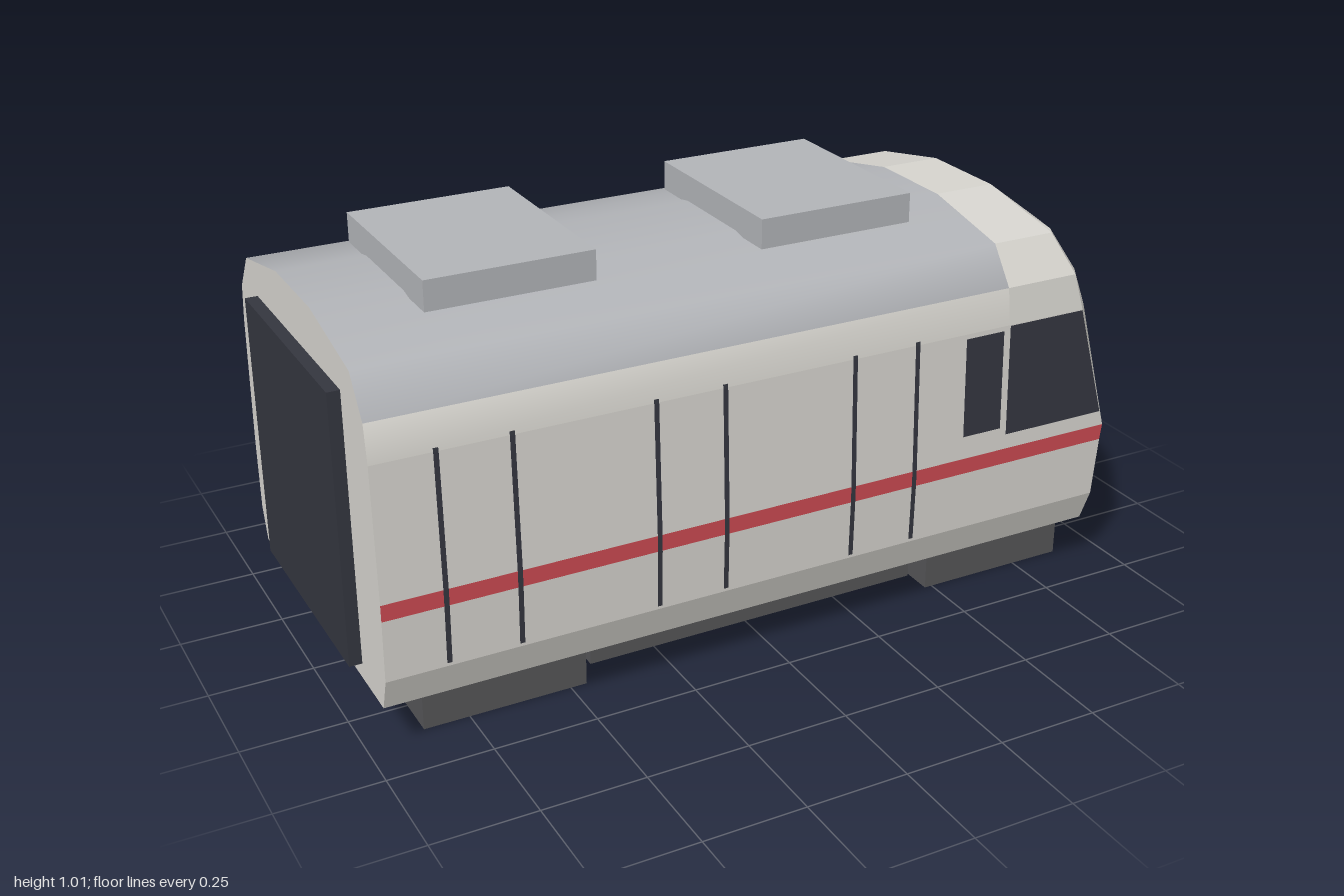
import * as THREE from 'three';

const mat = (name, color) => Object.assign(new THREE.MeshStandardMaterial({ color }), { name });

export function createModel() {
  const model = new THREE.Group();
  model.name = 'railCar';
  const cream = mat('cream body', 0xd6d4ce);
  const roofGrey = mat('roof grey', 0xb2b4b8);
  const red = mat('red trim', 0xcc4a52);
  const glass = mat('dark glass', 0x34363f);
  const skirtGrey = mat('skirt grey', 0x4a4a4f);
  const underGrey = mat('underframe grey', 0x555557);
  const lampGrey = mat('lamp white', 0xd0d0cc);

  const add = (name, geometry, material) => {
    const mesh = new THREE.Mesh(geometry, material);
    mesh.name = name;
    model.add(mesh);
    return mesh;
  };

  // Surface through rows of [x, y, z] points; cells can be filtered, normals smooth or flat
  const surface = (rows, { smooth = false, keep = () => true } = {}) => {
    const n = rows[0].length;
    const index = [];
    for (let i = 0; i < rows.length - 1; i++) {
      for (let j = 0; j < n - 1; j++) {
        if (!keep(i, j)) continue;
        const a = i * n + j, b = a + 1, c = b + n, d = a + n;
        index.push(a, b, c, a, c, d);
      }
    }
    let g = new THREE.BufferGeometry();
    g.setAttribute('position', new THREE.Float32BufferAttribute(rows.flat(2), 3));
    g.setIndex(index);
    if (!smooth) g = g.toNonIndexed();
    g.computeVertexNormals();
    return g;
  };

  // Half cross-section: half width, height, and x where the side meets the nose
  const half = [
    [0.425, 0.13, 0.90], [0.452, 0.21, 0.905], [0.455, 0.36, 0.915], [0.455, 0.40, 0.92],
    [0.443, 0.72, 0.835], [0.43, 0.81, 0.815], [0.365, 0.90, 0.785], [0.12, 0.95, 0.78],
  ];
  const section = [...half, ...half.map(([z, y, x]) => [-z, y, x]).reverse()];
  const last = section.length - 1;
  const REAR = -0.97, CAB = 0.62;

  // Side walls, one band at a time on both sides
  [['lowerSkirt', cream], ['lowerSide', cream], ['sideStripe', red], ['upperSide', cream]].forEach(([name, m], k) => {
    for (const i of [k, last - 1 - k]) {
      add(name, surface([i, i + 1].map((p) => {
        const [z, y, x] = section[p];
        return [[REAR, y, z], [x, y, z]];
      })), m);
    }
  });

  // Smooth roof shell, cream at the eaves and grey above
  const shell = section.slice(4, last - 3);
  const roof = surface(shell.map(([z, y]) => [[REAR, y, z], [CAB, y, z]]), { smooth: true });
  const eave = 6, total = roof.index.count;
  roof.addGroup(0, eave, 0);
  roof.addGroup(eave, total - 2 * eave, 1);
  roof.addGroup(total - eave, eave, 0);
  add('roof', roof, [cream, roofGrey]);

  // Faceted cab roof
  add('cabRoof', surface(shell.map(([z, y, x]) => [[CAB, y, z], [x, y, z]])), cream);

  // Nose rows: height, then [x, z] from the middle column to the outer edge
  const nose = [
    [0.13, [0.98, 0.18], [0.945, 0.345], [0.92, 0.40], [0.90, 0.425]],
    [0.21, [0.985, 0.19], [0.95, 0.365], [0.925, 0.425], [0.905, 0.452]],
    [0.36, [0.997, 0.19], [0.96, 0.365], [0.936, 0.425], [0.915, 0.455]],
    [0.40, [1.0, 0.19], [0.963, 0.365], [0.94, 0.425], [0.92, 0.455]],
    [0.72, [0.917, 0.17], [0.885, 0.345], [0.86, 0.415], [0.835, 0.443]],
    [0.81, [0.89, 0.16], [0.86, 0.33], [0.835, 0.40], [0.815, 0.43]],
    [0.90, [0.84, 0.12], [0.82, 0.25], [0.80, 0.34], [0.785, 0.365]],
  ];
  const noseRows = nose.map(([y, ...p]) => [
    ...p.map(([x, z]) => [x, y, z]).reverse(),
    ...p.map(([x, z]) => [x, y, -z]),
  ]);
  // Brow row lies on the front edge of the cab roof
  noseRows.push(noseRows[6].map(([, , z]) =>
    [Math.abs(z) > 0.36 ? 0.785 : 0.78, 0.95 - 0.05 * Math.max(0, Math.abs(z) - 0.12) / 0.245, z]));
  const noseMaterial = (i, j) => {
    const outer = j === 0 || j === 6;
    if (i === 0) return skirtGrey;
    if (i === 1 && (j === 2 || j === 4)) return lampGrey;
    if (i === 1 && (j === 1 || j === 5)) return lampGrey;
    if (i < 3) return red;
    return i === 6 || outer ? cream : glass;
  };
  // Headlights fill only the column next to the middle panel
  const cellMaterial = (i, j) => (i === 1 && (j === 1 || j === 5) ? red : noseMaterial(i, j));
  [['noseSkirt', skirtGrey], ['noseBand', red], ['headlights', lampGrey], ['windscreen', glass], ['noseFrame', cream]]
    .forEach(([name, m]) => add(name, surface(noseRows, { keep: (i, j) => cellMaterial(i, j) === m }), m));

  // Floor
  const floor = [[REAR, 0.425], [0.90, 0.425], [0.92, 0.40], [0.945, 0.345], [0.98, 0.18]];
  add('floor', surface(floor.map(([x, w]) => [[x, 0.13, w], [x, 0.13, -w]])), skirtGrey);

  // Rear wall and gangway
  const rear = new THREE.ShapeGeometry(new THREE.Shape(section.map(([z, y]) => new THREE.Vector2(z, y))));
  rear.rotateY(-Math.PI / 2).translate(REAR, 0, 0);
  add('rearWall', rear, cream);

  const box = (name, m, x0, x1, y0, y1, w) => {
    const mesh = add(name, new THREE.BoxGeometry(x1 - x0, y1 - y0, 2 * w), m);
    mesh.position.set((x0 + x1) / 2, (y0 + y1) / 2, 0);
  };
  box('gangway', glass, -1, REAR + 0.005, 0.17, 0.83, 0.295);

  // Roof units, underframe and bogies
  for (const x of [-0.76, 0.055]) box('roofUnit', roofGrey, x, x + 0.4, 0.943, 1.015, 0.243);
  box('underframe', underGrey, -0.43, 0.455, 0.02, 0.13, 0.315);
  for (const x of [-0.86, 0.48]) box('bogie', underGrey, x, x + 0.4, 0, 0.115, 0.357);

  // Thin plates that follow the side wall; rows are [y, x0, x1]
  const sideZ = (y) => {
    const k = Math.max(1, half.findIndex((p) => p[1] >= y));
    const [z0, y0] = half[k - 1], [z1, y1] = half[k];
    return z0 + (z1 - z0) * (y - y0) / (y1 - y0);
  };
  const plate = (name, m, rows, lift = 0.004) => {
    for (const s of [1, -1]) {
      add(name, surface(rows.map(([y, x0, x1]) => {
        const z = s * (sideZ(y) + lift);
        const row = [[x0, y, z], [x1, y, z]];
        return s > 0 ? row : row.reverse();
      })), m);
    }
  };
  plate('cabSideWindow', glass, [[0.44, 0.62, 0.905], [0.72, 0.62, 0.832]]);
  plate('smallSideWindow', glass, [[0.46, 0.495, 0.602], [0.71, 0.495, 0.602]]);
  for (const x of [-0.825, -0.655, -0.318, -0.148, 0.188, 0.358]) {
    plate('doorSeam', glass, [0.22, 0.36, 0.40, 0.72, 0.73].map((y) => [y, x - 0.006, x + 0.006]));
  }
  // Plain wall panels between the doors
  for (const [x0, x1] of [[-0.95, -0.85], [-0.63, -0.345], [-0.125, 0.16], [0.385, 0.46]]) {
    plate('wallPanel', cream, [[0.46, x0, x1], [0.71, x0, x1]], 0.003);
  }
  return model;
}
